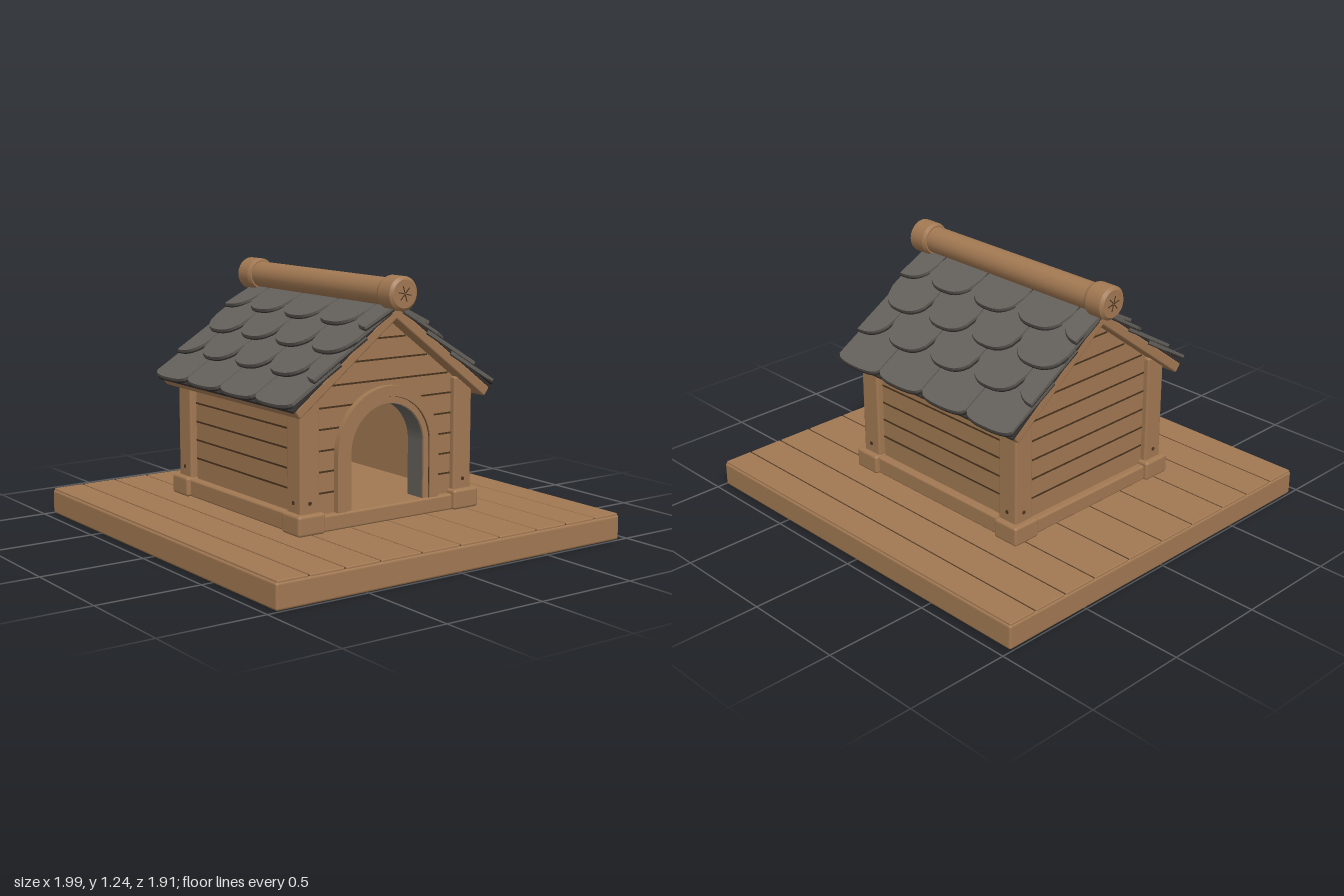
import * as THREE from 'three';
import { RoundedBoxGeometry } from 'three/addons/geometries/RoundedBoxGeometry.js';

const mat = (name, color) => Object.assign(new THREE.MeshStandardMaterial({ color }), { name });
const wood = mat('wood', 0xa17852);
const groove = mat('dark wood groove', 0x49331f);
const slate = mat('slate', 0x64605b);
const darkSlate = mat('dark slate', 0x33302e);

function add(parent, name, geo, material, x = 0, y = 0, z = 0) {
  const m = new THREE.Mesh(geo, material);
  m.name = name;
  m.position.set(x, y, z);
  parent.add(m);
  return m;
}

// Box given by its limits; r > 0 rounds the edges
function block(parent, name, material, [x0, x1], [y0, y1], [z0, z1], r = 0) {
  const s = [x1 - x0, y1 - y0, z1 - z0];
  const geo = r ? new RoundedBoxGeometry(...s, 2, r) : new THREE.BoxGeometry(...s);
  return add(parent, name, geo, material, (x0 + x1) / 2, (y0 + y1) / 2, (z0 + z1) / 2);
}

// Profile drawn in z and y, extruded along x
function slice(parent, name, material, shape, x0, x1) {
  const geo = new THREE.ExtrudeGeometry(shape, { depth: x1 - x0, bevelEnabled: false, curveSegments: 24 });
  return add(parent, name, geo.rotateY(Math.PI / 2), material, x0);
}

const ARCH_Y = 0.46, SILL = 0.2;

function archBand(r, q) {
  const s = new THREE.Shape();
  s.moveTo(-r, SILL).lineTo(-r, ARCH_Y).absarc(0, ARCH_Y, r, Math.PI, 0, true);
  s.lineTo(r, SILL).lineTo(q, SILL).lineTo(q, ARCH_Y).absarc(0, ARCH_Y, q, 0, Math.PI, false);
  s.lineTo(-q, SILL);
  return s;
}

function gableShape(withDoor) {
  const s = new THREE.Shape([[-0.45, 0.12], [0.45, 0.12], [0.45, 0.73], [0, 1.075], [-0.45, 0.73]]
    .map(p => new THREE.Vector2(...p)));
  if (withDoor) {
    const h = new THREE.Path();
    h.moveTo(-0.205, SILL).lineTo(0.205, SILL).lineTo(0.205, ARCH_Y);
    h.absarc(0, ARCH_Y, 0.205, 0, Math.PI, false).lineTo(-0.205, SILL);
    s.holes.push(h);
  }
  return s;
}

// Shingle outline: straight top, rounded lower edge, cut off at the roof's ends
function shingleShape(center, half, v0, v1, depth, grow) {
  const lim = 0.575, w = half - 0.004 + grow;
  const a = Math.max(center - w, -lim), b = Math.min(center + w, lim);
  const pts = [new THREE.Vector2(b, 0), new THREE.Vector2(a, 0)];
  for (let i = 0; i <= 16; i++) {
    const x = a + (b - a) * i / 16, t = Math.min(1, Math.abs((x - center) / w));
    pts.push(new THREE.Vector2(x, -(v1 - v0 + grow - depth * (1 - Math.sqrt(1 - t ** 2.6)))));
  }
  return new THREE.Shape(pts);
}

function roofSide(name) {
  const side = new THREE.Group(), slope = new THREE.Group();
  side.name = name;
  side.add(slope);
  slope.position.y = 1.168;
  slope.rotation.x = 0.652;
  block(slope, 'roofBoards', wood, [-0.57, 0.57], [-0.094, -0.045], [0.03, 0.725], 0.008);
  block(slope, 'slateBacking', darkSlate, [-0.573, 0.573], [-0.047, -0.035], [0.04, 0.735]);
  const half = 0.145;
  [0.24, 0.41, 0.58, 0.755].forEach((v1, row) => {
    const v0 = Math.max(0.05, v1 - 0.33), depth = row === 3 ? 0.035 : 0.12;
    const tilt = -Math.asin(0.036 / (v1 - v0));
    for (let k = -3; k <= 3; k++) {
      const c = (k + (row % 2 ? 0.5 : 0.05)) * half * 2;
      if (Math.abs(c) > 0.575 + half - 0.03) continue;
      const piece = (label, material, thick, lift, grow) => {
        const geo = new THREE.ExtrudeGeometry(shingleShape(c, half, v0, v1 - 0.005, depth, grow),
          { depth: thick, bevelEnabled: false });
        add(slope, label, geo.rotateX(-Math.PI / 2), material, 0, -0.056 + lift, v0).rotation.x = tilt;
      };
      piece('shingle', slate, 0.016, 0.005, 0);
      piece('shingleEdge', darkSlate, 0.008, 0, 0.005);
    }
  });
  return side;
}

export function createModel() {
  const model = new THREE.Group();
  model.name = 'kennel';

  // Plank platform
  const deck = new THREE.Group();
  deck.name = 'platform';
  model.add(deck);
  block(deck, 'platformSlab', wood, [-0.995, 0.995], [0, 0.118], [-0.953, 0.953], 0.012);
  const seams = [-0.95, -0.8, -0.62, -0.44, -0.22, 0, 0.21, 0.43, 0.61, 0.79, 0.95];
  for (let i = 0; i < 10; i++) {
    block(deck, 'plank', wood, [-0.99, 0.99], [0.1, 0.126], [seams[i] + 0.004, seams[i + 1] - 0.004], 0.005);
    if (i) block(deck, 'plankSeam', groove, [-0.985, 0.985], [0.114, 0.121], [seams[i] - 0.006, seams[i] + 0.006]);
  }

  const house = new THREE.Group();
  house.name = 'house';
  house.position.x = -0.035;
  model.add(house);

  // Base rails, floor and side walls
  block(house, 'floor', wood, [-0.46, 0.46], [0.12, SILL], [-0.44, 0.44]);
  for (const s of [-1, 1]) {
    const span = (a, b) => s > 0 ? [a, b] : [-b, -a];
    block(house, 'sideWall', wood, [-0.47, 0.47], [0.12, 0.74], span(0.41, 0.45));
    block(house, 'sideRail', wood, [-0.44, 0.44], [0.125, 0.21], span(0.43, 0.49), 0.01);
    block(house, 'endRail', wood, span(0.44, 0.525), [0.125, 0.2], [-0.38, 0.38], 0.01);
    for (let y = 0.31; y < 0.65; y += 0.09)
      block(house, 'sideWallSeam', groove, [-0.41, 0.41], [y - 0.004, y + 0.004], span(0.447, 0.452));

    // Corner posts with feet and pegs
    for (const e of [-1, 1]) {
      const zs = (a, b) => e > 0 ? [a, b] : [-b, -a];
      block(house, 'cornerPost', wood, span(0.41, 0.518), [0.13, 0.75], zs(0.38, 0.485), 0.01);
      block(house, 'postFoot', wood, span(0.405, 0.545), [0.125, 0.22], zs(0.365, 0.512), 0.014);
      const peg = new THREE.CylinderGeometry(0.009, 0.009, 0.006, 10);
      add(house, 'peg', peg, groove, s * 0.465, 0.265, e * 0.485).rotation.x = Math.PI / 2;
      add(house, 'peg', peg, groove, s * 0.518, 0.265, e * 0.435).rotation.z = Math.PI / 2;
    }

    // Gable walls with board seams, interrupted by the door
    const door = s > 0;
    slice(house, door ? 'doorWall' : 'rearWall', wood, gableShape(door), ...span(0.44, 0.49));
    for (let y = 0.295; y < 1; y += 0.095) {
      const out = Math.min(0.385, (1.045 - y) / 0.764);
      const rise = Math.max(0, y - ARCH_Y);
      const inner = door && rise < 0.28 ? Math.sqrt(0.28 ** 2 - rise ** 2) : 0;
      for (const e of [-1, 1])
        block(house, 'gableSeam', groove, span(0.487, 0.492), [y - 0.004, y + 0.004],
          e > 0 ? [inner, out] : [-out, -inner]);
    }
  }

  // Arched door frame
  slice(house, 'doorFrameOuter', wood, archBand(0.285, 0.236), 0.47, 0.522);
  slice(house, 'doorFrameInner', wood, archBand(0.237, 0.205), 0.47, 0.512);
  slice(house, 'doorFrameLine', groove, archBand(0.24, 0.234), 0.5, 0.5145);
  slice(house, 'doorLining', slate, archBand(0.207, 0.202), 0.4, 0.505);

  // Roof
  house.add(roofSide('frontRoof'));
  const back = roofSide('backRoof');
  back.rotation.y = Math.PI;
  house.add(back);

  // Ridge log with collared ends
  const ridge = new THREE.Group();
  ridge.name = 'ridgeLog';
  ridge.position.y = 1.166;
  house.add(ridge);
  add(ridge, 'log', new THREE.CylinderGeometry(0.063, 0.063, 1.1, 24).rotateZ(Math.PI / 2), wood);
  const profile = [[0, 0.625], [0.064, 0.625], [0.064, 0.625], [0.078, 0.612], [0.078, 0.612],
    [0.078, 0.53], [0.078, 0.53], [0.07, 0.512], [0.07, 0.512], [0.05, 0.512]]
    .reverse().map(p => new THREE.Vector2(...p));
  for (const s of [-1, 1]) {
    const cap = add(ridge, 'logCap', new THREE.LatheGeometry(profile, 24), wood);
    cap.rotation.z = -s * Math.PI / 2;
    for (let i = 0; i < 6; i++) {
      const a = i * Math.PI / 3 + 0.3;
      const crack = add(ridge, 'endCrack', new THREE.BoxGeometry(0.004, 0.032, 0.004), groove,
        s * 0.625, Math.cos(a) * 0.02, Math.sin(a) * 0.02);
      crack.rotation.x = a;
    }
  }
  return model;
}
